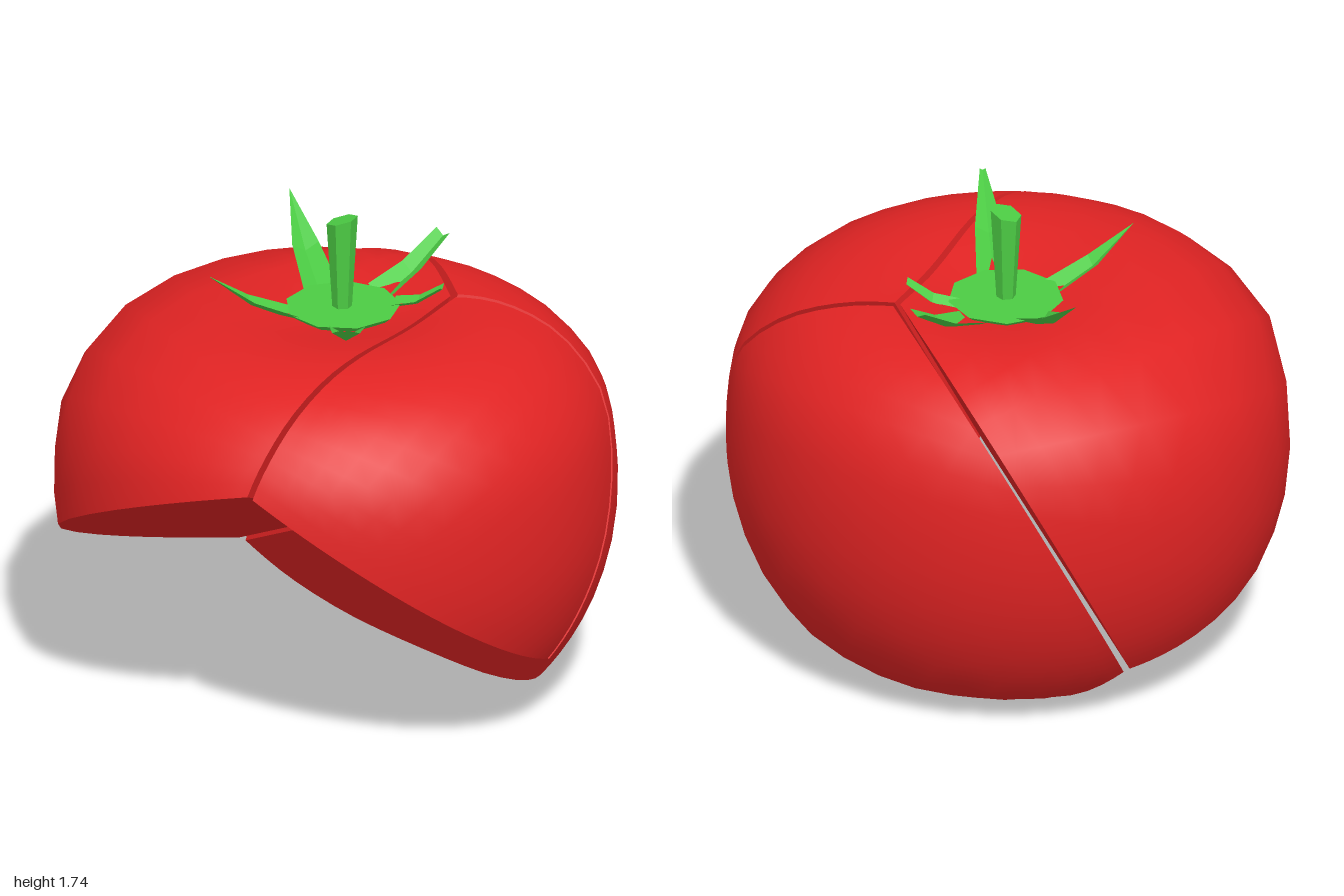
import * as THREE from 'three';
import { mergeGeometries } from 'three/addons/utils/BufferGeometryUtils.js';

const V = (x, y, z) => new THREE.Vector3(x, y, z);
const MID = 0.72;                        // height of the fruit's middle
const DIMPLE = V(-0.03, 1.35, -0.12);    // where the stalk sits

// Half profile of the fruit (radius, height), turned into polar form
const outline = new THREE.SplineCurve([
  [0, 0.03], [0.25, 0.005], [0.42, 0], [0.57, 0.03], [0.73, 0.12], [0.87, 0.32], [0.95, 0.55],
  [0.975, 0.78], [0.955, 1.03], [0.9, 1.18], [0.77, 1.32], [0.6, 1.4], [0.42, 1.43], [0.2, 1.435], [0, 1.435],
].map(([r, y]) => new THREE.Vector2(r, y))).getPoints(70)
  .map(p => [Math.atan2(p.y - MID, p.x), Math.hypot(p.x, p.y - MID)]);

function outlineRadius(angle) {
  let i = 1;
  while (i < outline.length - 1 && outline[i][0] < angle) i++;
  const [a0, r0] = outline[i - 1], [a1, r1] = outline[i];
  return THREE.MathUtils.lerp(r0, r1, THREE.MathUtils.clamp((angle - a0) / (a1 - a0), 0, 1));
}

// True when a point lies inside the whole fruit
function inside(p) {
  const x = p.x / 1.02, y = p.y - MID, r = Math.hypot(x, p.z);
  let limit = outlineRadius(Math.atan2(y, r));
  if (y > 0) {
    const d2 = (p.x - DIMPLE.x) ** 2 + (p.z - DIMPLE.z) ** 2;
    limit -= 0.09 * Math.exp(-d2 / 0.12);
  }
  return Math.hypot(r, y) < limit;
}

// Point where a ray from inside the fruit meets the skin
function skinPoint(origin, dir) {
  let lo = 0, hi = 2.2;
  for (let i = 0; i < 30; i++) {
    const t = (lo + hi) / 2;
    if (inside(origin.clone().addScaledVector(dir, t))) lo = t; else hi = t;
  }
  return origin.clone().addScaledVector(dir, lo);
}

function geometryFrom(points, index) {
  const g = new THREE.BufferGeometry().setFromPoints(points);
  if (index) g.setIndex(index);
  g.computeVertexNormals();
  return index ? g.toNonIndexed() : g;
}

// One wedge: a patch of skin between three rays plus three flat cut walls
function wedge(centre, rays) {
  let [a, b, c] = rays;
  const normal = b.clone().sub(a).cross(c.clone().sub(a));
  if (normal.dot(a.clone().add(b).add(c)) < 0) [b, c] = [c, b];
  const axis = a.clone().add(b).add(c).normalize();
  const apex = centre.clone().addScaledVector(axis, 0.016);   // leaves the gap between wedges

  const N = 22, grid = [], points = [], index = [];
  for (let i = 0; i <= N; i++) {
    grid.push([]);
    for (let j = 0; j <= N - i; j++) {
      const dir = a.clone().multiplyScalar(N - i - j).addScaledVector(b, i).addScaledVector(c, j).normalize();
      grid[i].push(points.length);
      points.push(skinPoint(apex, dir));
    }
  }
  for (let i = 0; i < N; i++) for (let j = 0; j < N - i; j++) {
    index.push(grid[i][j], grid[i + 1][j], grid[i][j + 1]);
    if (j < N - i - 1) index.push(grid[i + 1][j], grid[i + 1][j + 1], grid[i][j + 1]);
  }

  // Cut walls fan out from the apex to the patch borders
  const walls = [], corner = (i, j) => points[grid[i][j]];
  for (let k = 0; k < N; k++) {
    walls.push(apex, corner(k + 1, 0), corner(k, 0));
    walls.push(apex, corner(N - k - 1, k + 1), corner(N - k, k));
    walls.push(apex, corner(0, N - k - 1), corner(0, N - k));
  }
  return mergeGeometries([geometryFrom(points, index), geometryFrom(walls)]);
}

// Folded pointed leaf from base to tip
function sepal(base, tip, width, tipWidth) {
  const along = tip.clone().sub(base);
  const side = V(-along.z, 0, along.x).normalize();
  const points = [], index = [];
  [[0, width, 0], [0.5, width * 0.75, -0.02], [1, tipWidth, 0]].forEach(([t, w, sag]) => {
    const p = base.clone().addScaledVector(along, t);
    p.y += sag;
    points.push(p.clone().addScaledVector(side, w / 2), p.clone().add(V(0, -w * 0.3, 0)),
      p.clone().addScaledVector(side, -w / 2));
  });
  for (let r = 0; r < 2; r++) for (let s = 0; s < 2; s++) {
    const q = r * 3 + s;
    index.push(q, q + 1, q + 3, q + 1, q + 4, q + 3);
  }
  return geometryFrom(points, index);
}

export function createModel() {
  const model = new THREE.Group();
  const red = new THREE.MeshStandardMaterial({ color: 0xe02323 });
  const green = new THREE.MeshStandardMaterial({ color: 0x4ccc44, flatShading: true, side: THREE.DoubleSide });
  const add = (name, geometry, material, parent = model) => {
    const mesh = new THREE.Mesh(geometry, material);
    mesh.name = name;
    parent.add(mesh);
    return mesh;
  };

  // Three wedges of the fruit; the fourth, low at the front, is cut away
  const centre = V(0.12, 0.68, 0.06);
  const [front, lowRight, lowLeft, top] = [
    V(0.11, 1.09, 0.93), V(-0.57, 0.23, -0.485), V(0.85, 0.28, 0.08), V(0.3, 1.39, -0.32),
  ].map(p => p.sub(centre).normalize());
  add('rightWedge', wedge(centre, [top, front, lowRight]), red);
  add('leftWedge', wedge(centre, [top, front, lowLeft]), red);
  add('backWedge', wedge(centre, [top, lowRight, lowLeft]), red);

  // Calyx plate with five leaves
  const calyx = new THREE.Group();
  calyx.name = 'calyx';
  model.add(calyx);
  const plate = add('calyxPlate', new THREE.CylinderGeometry(0.205, 0.17, 0.03, 9), green, calyx);
  plate.position.set(-0.03, 1.375, -0.12);
  [
    [V(-0.16, 1.39, -0.22), V(-0.42, 1.61, -0.5), 0.13, 0],
    [V(0.03, 1.39, -0.3), V(0.145, 1.53, -0.57), 0.13, 0.07],
    [V(0.11, 1.39, -0.23), V(0.29, 1.47, -0.26), 0.09, 0.05],
    [V(0.06, 1.39, 0.03), V(0.24, 1.57, 0.43), 0.13, 0.02],
    [V(-0.16, 1.39, 0.0), V(-0.39, 1.57, 0.22), 0.11, 0],
  ].forEach(leaf => add('leaf', sepal(...leaf), green, calyx));

  // Stalk, flaring upward with a slanted top
  const stalkGeometry = new THREE.CylinderGeometry(0.055, 0.033, 0.36, 6);
  const pos = stalkGeometry.attributes.position;
  for (let i = 0; i < pos.count; i++) if (pos.getY(i) > 0) pos.setY(i, pos.getY(i) + pos.getX(i) * 0.3);
  stalkGeometry.computeVertexNormals();
  add('stalk', stalkGeometry, green).position.set(-0.03, 1.54, -0.115);

  return model;
}
